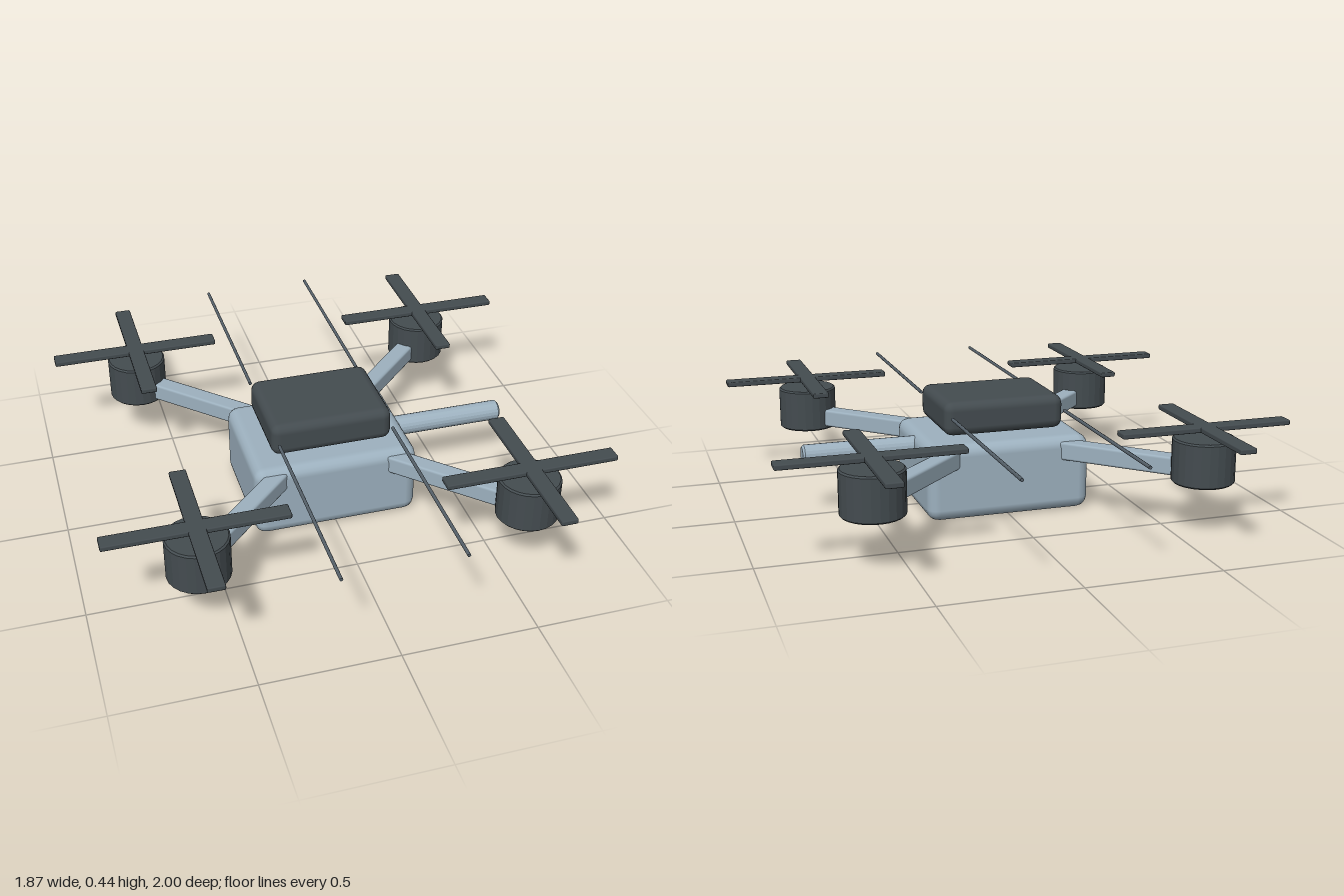
import * as THREE from 'three';
import { RoundedBoxGeometry } from 'three/addons/geometries/RoundedBoxGeometry.js';

export function createModel() {
  const model = new THREE.Group();
  model.name = 'quadcopter';

  const mat = (name, color) => {
    const m = new THREE.MeshStandardMaterial({ color });
    m.name = name;
    return m;
  };
  const shell = mat('pale blue shell', 0x9db1bf);
  const dark = mat('charcoal', 0x444c50);
  const steel = mat('grey rod', 0x56616a);

  const add = (parent, name, geometry, material, x, y, z) => {
    const mesh = new THREE.Mesh(geometry, material);
    mesh.name = name;
    mesh.position.set(x, y, z);
    parent.add(mesh);
    return mesh;
  };

  // Upright cylinder with small chamfered rims, centred on its own middle
  const chamferedCylinder = (r, h, c, sides) => {
    const rings = [[0, -h / 2], [r - c, -h / 2], [r, -h / 2 + c], [r, h / 2 - c], [r - c, h / 2], [0, h / 2]];
    const geometry = new THREE.LatheGeometry(rings.map(([x, y]) => new THREE.Vector2(x, y)), sides).toNonIndexed();
    geometry.computeVertexNormals();
    return geometry;
  };

  // Body and battery cover
  add(model, 'body', new RoundedBoxGeometry(0.634, 0.29, 0.498, 2, 0.045), shell, 0, 0.145, 0);
  add(model, 'batteryCover', new RoundedBoxGeometry(0.466, 0.13, 0.362, 2, 0.035), dark, 0, 0.37, 0);

  // Side boom and camera ball
  add(model, 'boom', chamferedCylinder(0.039, 0.46, 0.008, 20), shell, 0.51, 0.235, 0).rotation.z = -Math.PI / 2;
  add(model, 'cameraBall', new THREE.SphereGeometry(0.043, 12, 8), shell, 0.305, 0.1, 0);

  // Shared geometry of the four corners
  const armGeo = new RoundedBoxGeometry(0.62, 0.07, 0.07, 1, 0.01);
  const motorGeo = chamferedCylinder(0.115, 0.165, 0.006, 24);
  const bladeGeo = new RoundedBoxGeometry(0.655, 0.02, 0.062, 1, 0.005);
  const rodGeo = new THREE.CylinderGeometry(0.0065, 0.0065, 0.775, 8);

  for (const sx of [-1, 1]) {
    for (const sz of [-1, 1]) {
      const corner = new THREE.Group();
      corner.name = (sz > 0 ? 'front' : 'back') + (sx > 0 ? 'Left' : 'Right') + 'Rotor';
      model.add(corner);

      // Diagonal arm and motor
      add(corner, 'arm', armGeo, shell, sx * 0.39, 0.235, sz * 0.39).rotation.y = -sx * sz * Math.PI / 4;
      add(corner, 'motor', motorGeo, dark, sx * 0.608, 0.27, sz * 0.608);

      // Crossed propeller blades
      for (const turn of [0, Math.PI / 2]) {
        add(corner, 'propellerBlade', bladeGeo, dark, sx * 0.608, 0.387, sz * 0.608).rotation.y = turn;
      }

      // Long thin antenna rod
      add(corner, 'antennaRod', rodGeo, steel, sx * 0.218, 0.387, sz * 0.6125).rotation.x = Math.PI / 2;
    }
  }
  return model;
}
